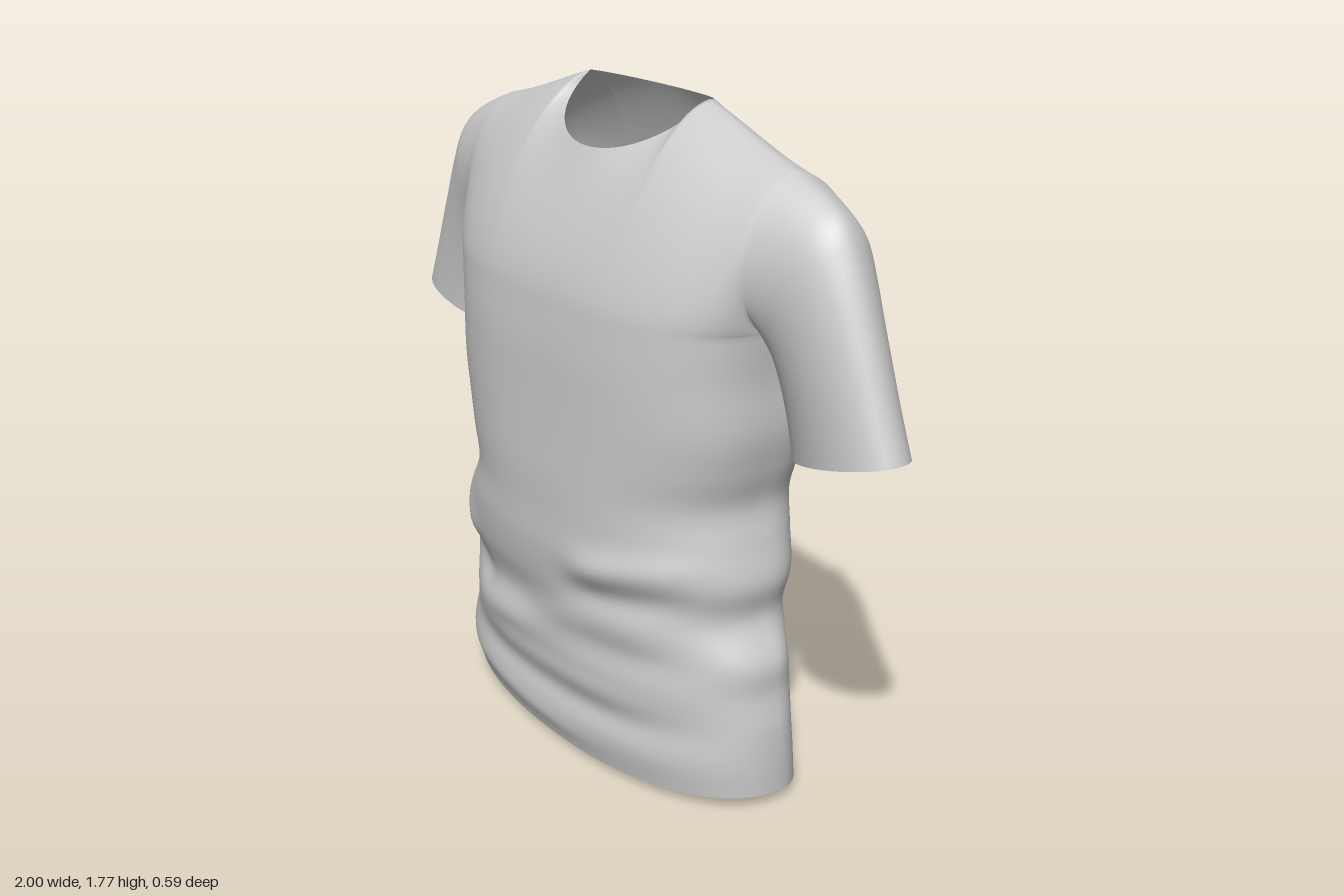
import * as THREE from 'three';
import { mergeVertices } from 'three/addons/utils/BufferGeometryUtils.js';

const N = 96;           // columns across the front (and across the back)
const NECK = 36;        // column where the neck opening starts
const YOKE = 28;        // rows from armpit to shoulder
const PIT = 1.27;       // armpit height
const { lerp, clamp, smoothstep } = THREE.MathUtils;

// Torso outline: height, right side x, left side x, front z, back z
const OUTLINE = [
  [0.00, -0.630, 0.625, 0.240, -0.255], [0.09, -0.645, 0.625, 0.258, -0.240],
  [0.20, -0.622, 0.620, 0.250, -0.225], [0.30, -0.600, 0.605, 0.265, -0.232],
  [0.39, -0.612, 0.603, 0.252, -0.215], [0.50, -0.608, 0.550, 0.280, -0.258],
  [0.60, -0.580, 0.566, 0.292, -0.280], [0.70, -0.525, 0.545, 0.292, -0.285],
  [0.80, -0.540, 0.525, 0.292, -0.287], [0.90, -0.558, 0.550, 0.288, -0.289],
  [1.00, -0.572, 0.570, 0.284, -0.291], [1.15, -0.570, 0.573, 0.278, -0.294],
  [PIT, -0.585, 0.585, 0.266, -0.295],
];
const outline = new THREE.CubicInterpolant(
  OUTLINE.map((r) => r[0]), OUTLINE.flatMap((r) => r.slice(1)), 4, [0, 0, 0, 0]);

// Cloth folds: side (1 front, -1 back), start x y, end x y, width, height
const FOLDS = [
  [1, -0.55, 0.22, 0.20, 0.43, 0.060, 0.014], [1, -0.10, 0.38, 0.58, 0.47, 0.060, 0.016],
  [1, 0.08, 0.57, 0.62, 0.67, 0.045, 0.020], [1, 0.05, 0.49, 0.60, 0.57, 0.040, -0.014],
  [1, -0.62, 0.21, 0.60, 0.24, 0.040, 0.010], [1, -0.62, 0.14, 0.60, 0.17, 0.035, -0.008],
  [1, -0.70, 0.07, 0.30, 0.05, 0.028, 0.007], [1, -0.56, 0.62, -0.38, 0.42, 0.055, 0.018],
  [1, -0.55, 0.47, -0.25, 0.33, 0.050, -0.012],
  [-1, -0.60, 0.54, 0.20, 0.38, 0.060, 0.016], [-1, -0.05, 0.40, 0.60, 0.45, 0.060, 0.016],
  [-1, -0.65, 0.40, 0.65, 0.31, 0.035, -0.014], [-1, -0.42, 0.58, -0.28, 1.25, 0.090, 0.010],
  [-1, 0.40, 0.52, 0.28, 1.25, 0.090, 0.010], [-1, 0.00, 0.45, 0.00, 1.25, 0.110, -0.008],
];

function foldHeight(side, x, y) {
  let sum = 0;
  for (const [s, x0, y0, x1, y1, w, h] of FOLDS) {
    if (s !== side) continue;
    const dx = x1 - x0, dy = y1 - y0;
    const t = clamp(((x - x0) * dx + (y - y0) * dy) / (dx * dx + dy * dy), 0, 1);
    const d = Math.hypot(x - x0 - t * dx, y - y0 - t * dy) / w;
    const taper = smoothstep(Math.min(t, 1 - t), 0, 0.35);
    sum += h * taper * Math.exp(-d * d);
  }
  return sum;
}

const squared = (v, p) => Math.sign(v) * Math.abs(v) ** p;
const pitPower = (side) => (side > 0 ? 0.7 : 0.58);   // the back is squarer than the chest

// Point of the torso at column i (0..N front, N..2N back) and height y
function torsoPoint(i, y) {
  const a = Math.PI * i / N;
  const side = i <= N ? 1 : -1;
  const p = lerp(0.87, pitPower(side), smoothstep(y, 0.5, PIT));
  const c = squared(Math.cos(a), p);
  const s = i % N === 0 ? 0 : squared(Math.sin(a), p);
  const [xr, xl, zf, zb] = outline.evaluate(y);
  const x = c > 0 ? c * xl : -c * xr;
  const seam = -0.04;
  const z = seam + Math.abs(s) * ((side > 0 ? zf : zb) - seam + side * foldHeight(side, x, y));
  // uneven hem line, fading out upward
  const hem = 0.005 + 0.085 * x * x - 0.015 * x + 0.009 * s;
  return new THREE.Vector3(x, y + hem * Math.max(0, 1 - y / 0.4), z);
}

// Upper edge of column m: the shoulder line, then the neck opening
const shoulder = new THREE.CubicInterpolant(
  [0.25, 0.32, 0.4, 0.5, 0.6], [1.77, 1.748, 1.72, 1.687, 1.66], 1, [0]);
function topPoint(m, side) {
  const k = Math.min(m, N - m);
  if (k >= NECK) {
    const phi = (m - NECK) / (N - 2 * NECK) * Math.PI, s = Math.sin(phi);
    return [new THREE.Vector3(0.25 * Math.cos(phi), 1.77 - (side > 0 ? 0.135 : 0.015) * s,
      -0.08 + (side > 0 ? 0.19 : -0.08) * s), s];
  }
  const f = 1 - k / NECK;
  const x = 0.25 + 0.35 * f;
  return [new THREE.Vector3(m < N / 2 ? x : -x, shoulder.evaluate(x)[0], lerp(-0.08, -0.06, f)), 0];
}

// Point of the yoke: each column curves from the armpit level to the upper edge
function yokePoint(i, side, t) {
  const b = torsoPoint(i, PIT);
  const m = side > 0 ? i : 2 * N - i;
  const [e, s] = topPoint(m, side);
  const h = m % N === 0 ? 0 : squared(Math.sin(Math.PI * m / N), pitPower(side));
  const y1 = PIT + lerp(0.02, side > 0 ? 0.12 : 0.17, h);
  const z1 = b.z + (side > 0 ? 0.22 : -0.33) * (1 - h) ** 1.3 - side * 0.013 * h;
  const y2 = e.y - lerp(0.03, 0.1, s);
  const reach = side > 0 ? lerp(0.15, 0.18, h) : lerp(0.19, 0.11, h);
  const z2 = e.z + side * lerp(reach, 0.055, s);
  const q = 1 - t;
  const bez = (p0, p1, p2, p3) => q * q * q * p0 + 3 * q * q * t * p1 + 3 * q * t * t * p2 + t * t * t * p3;
  const y = bez(b.y, y1, y2, e.y);
  return new THREE.Vector3(lerp(b.x, e.x, (y - b.y) / (e.y - b.y)), y, bez(b.z, z1, z2, e.z));
}

// Sleeve outline, outer edge and underside
const curve = (pts) => new THREE.CatmullRomCurve3(pts.map(([x, y]) => new THREE.Vector3(x, y, 0)));
const sleeveTop = curve([[0.6, 1.66], [0.7, 1.62], [0.775, 1.575], [0.825, 1.49], [0.9, 1.31], [0.95, 1.18], [1, 1.055]]);
const sleeveUnder = curve([[0.585, PIT], [0.59, 1.2], [0.59, 1.1], [0.593, 1.03], [0.6, 0.95]]);

// Point of the left sleeve: j runs round the armhole, t from armhole to cuff
function sleevePoint(j, t) {
  const front = j <= YOKE;
  const p = yokePoint(front ? 0 : 2 * N, front ? 1 : -1, (front ? j : 2 * YOKE - j) / YOKE);
  const f0 = (p.y - PIT) / (1.66 - PIT);
  const ang = Math.PI * j / YOKE;
  const f1 = 0.5 - 0.5 * Math.cos(ang);
  const z1 = -0.08 + 0.108 * Math.sin(ang) - 0.03 * Math.cos(ang);
  const out = sleeveUnder.getPointAt(t).lerp(sleeveTop.getPointAt(t), lerp(f0, f1, smoothstep(t, 0, 1)));
  out.z = lerp(p.z, z1, 1 - (1 - t) ** 2);
  return out;
}

export function createModel() {
  const pos = [], index = [], parts = [];

  // Adds a grid of quads to the shared cloth
  function grid(nu, nv, point, flip = false) {
    const base = pos.length / 3;
    for (let v = 0; v <= nv; v++) {
      for (let u = 0; u <= nu; u++) pos.push(...point(u, v / nv).toArray());
    }
    for (let v = 0; v < nv; v++) {
      for (let u = 0; u < nu; u++) {
        const a = base + v * (nu + 1) + u, b = a + 1, c = a + nu + 1, d = c + 1;
        index.push(...(flip ? [a, b, c, b, d, c] : [a, c, b, b, c, d]));
      }
    }
  }
  function part(name, build) {
    const start = index.length;
    build();
    parts.push([name, start, index.length]);
  }

  part('torso', () => grid(2 * N, 80, (u, t) => torsoPoint(u % (2 * N), t * PIT)));
  part('frontYoke', () => grid(N, YOKE, (u, t) => yokePoint(u, 1, t)));
  part('backYoke', () => grid(N, YOKE, (u, t) => yokePoint(u + N, -1, t)));
  part('leftSleeve', () => grid(2 * YOKE, 30, sleevePoint));
  part('rightSleeve', () => grid(2 * YOKE, 30,
    (u, t) => sleevePoint(u, t).multiply(new THREE.Vector3(-1, 1, 1)), true));

  // Weld the seams so shading flows from part to part
  let cloth = new THREE.BufferGeometry();
  cloth.setAttribute('position', new THREE.Float32BufferAttribute(pos, 3));
  cloth.setIndex(index);
  cloth = mergeVertices(cloth, 1e-4);
  cloth.computeVertexNormals();

  const material = new THREE.MeshStandardMaterial({ color: 0xcccccc, side: THREE.DoubleSide });
  const group = new THREE.Group();
  group.name = 'shirt';
  const welded = Array.from(cloth.index.array);
  for (const [name, start, end] of parts) {
    const geometry = new THREE.BufferGeometry();
    geometry.setAttribute('position', cloth.attributes.position.clone());
    geometry.setAttribute('normal', cloth.attributes.normal.clone());
    geometry.setIndex(welded.slice(start, end));
    const mesh = new THREE.Mesh(geometry, material);
    mesh.name = name;
    group.add(mesh);
  }
  return group;
}
